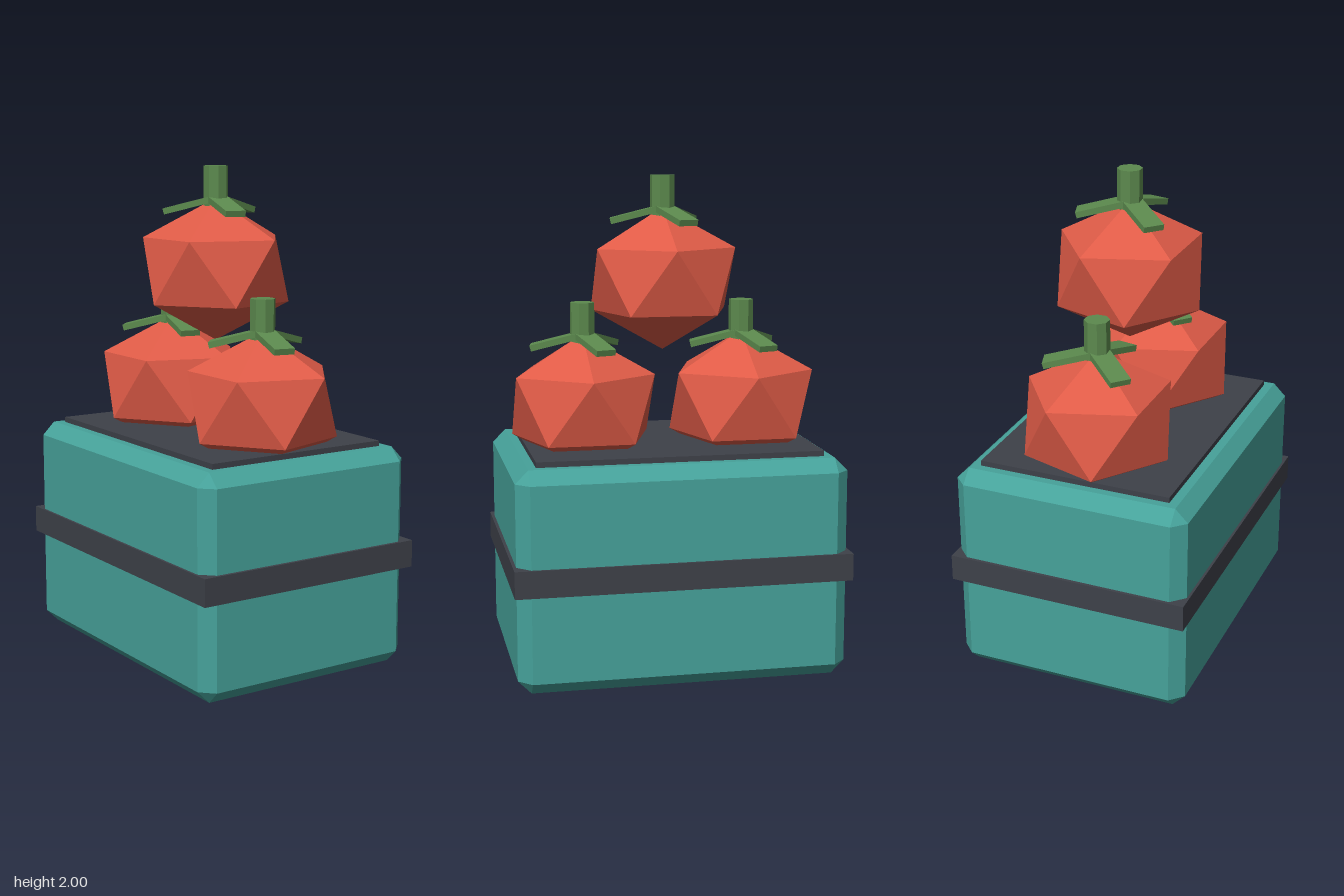
import * as THREE from 'three';
import { ConvexGeometry } from 'three/addons/geometries/ConvexGeometry.js';

const material = (name, color) => {
  const m = new THREE.MeshStandardMaterial({ color });
  m.name = name;
  m.flatShading = true;
  return m;
};

function add(parent, name, geometry, mat, x = 0, y = 0, z = 0) {
  const mesh = new THREE.Mesh(geometry, mat);
  mesh.name = name;
  mesh.position.set(x, y, z);
  parent.add(mesh);
  return mesh;
}

// Box with every edge and corner cut by c
function chamferedBox(hx, hy, hz, c) {
  const pts = [];
  for (const x of [-1, 1]) for (const y of [-1, 1]) for (const z of [-1, 1]) {
    pts.push(
      new THREE.Vector3(x * hx, y * (hy - c), z * (hz - c)),
      new THREE.Vector3(x * (hx - c), y * hy, z * (hz - c)),
      new THREE.Vector3(x * (hx - c), y * (hy - c), z * hz)
    );
  }
  return new ConvexGeometry(pts);
}

// Squashed icosahedron standing on a point
function fruitGeometry() {
  const pts = [new THREE.Vector3(0, 0.29, 0), new THREE.Vector3(0, -0.29, 0)];
  for (let i = 0; i < 5; i++) {
    const a = (i * Math.PI * 2) / 5;
    const x = 0.298 * Math.cos(a), z = 0.298 * Math.sin(a);
    pts.push(new THREE.Vector3(x, 0.13, z), new THREE.Vector3(-x, -0.13, z));
  }
  return new ConvexGeometry(pts);
}

export function createModel() {
  const teal = material('teal', 0x46a29a);
  const dark = material('charcoal', 0x3e4149);
  const red = material('tomato red', 0xdf5b47);
  const green = material('leaf green', 0x5c8a4e);

  const model = new THREE.Group();
  model.name = 'tomatoCrate';

  // Crate, band and lid plate
  add(model, 'crate', chamferedBox(0.49, 0.4475, 0.665, 0.053), teal, 0, 0.4475, 0);
  add(model, 'band', new THREE.BoxGeometry(1.0, 0.11, 1.356), dark, 0, 0.458, 0);
  add(model, 'topPlate', new THREE.BoxGeometry(0.8, 0.06, 1.156), dark, 0, 0.887, 0);

  // Three tomatoes: two on the plate, one stacked above
  const body = fruitGeometry();
  const stem = new THREE.CylinderGeometry(0.051, 0.051, 0.18, 8).rotateY(Math.PI / 8);
  const leaf = new THREE.BoxGeometry(0.2, 0.025, 0.085);
  leaf.rotateZ(-0.25).translate(0.113, 0.26, 0);

  for (const [y, z] of [[1.07, -0.333], [1.07, 0.333], [1.58, 0]]) {
    const tomato = new THREE.Group();
    tomato.name = 'tomato';
    tomato.position.set(0, y, z);
    add(tomato, 'fruit', body, red);
    add(tomato, 'stem', stem, green, 0, 0.33, 0);
    for (let i = 0; i < 3; i++) {
      add(tomato, 'leaf', leaf, green).rotation.y = THREE.MathUtils.degToRad(18.4 + 120 * i);
    }
    model.add(tomato);
  }
  return model;
}
